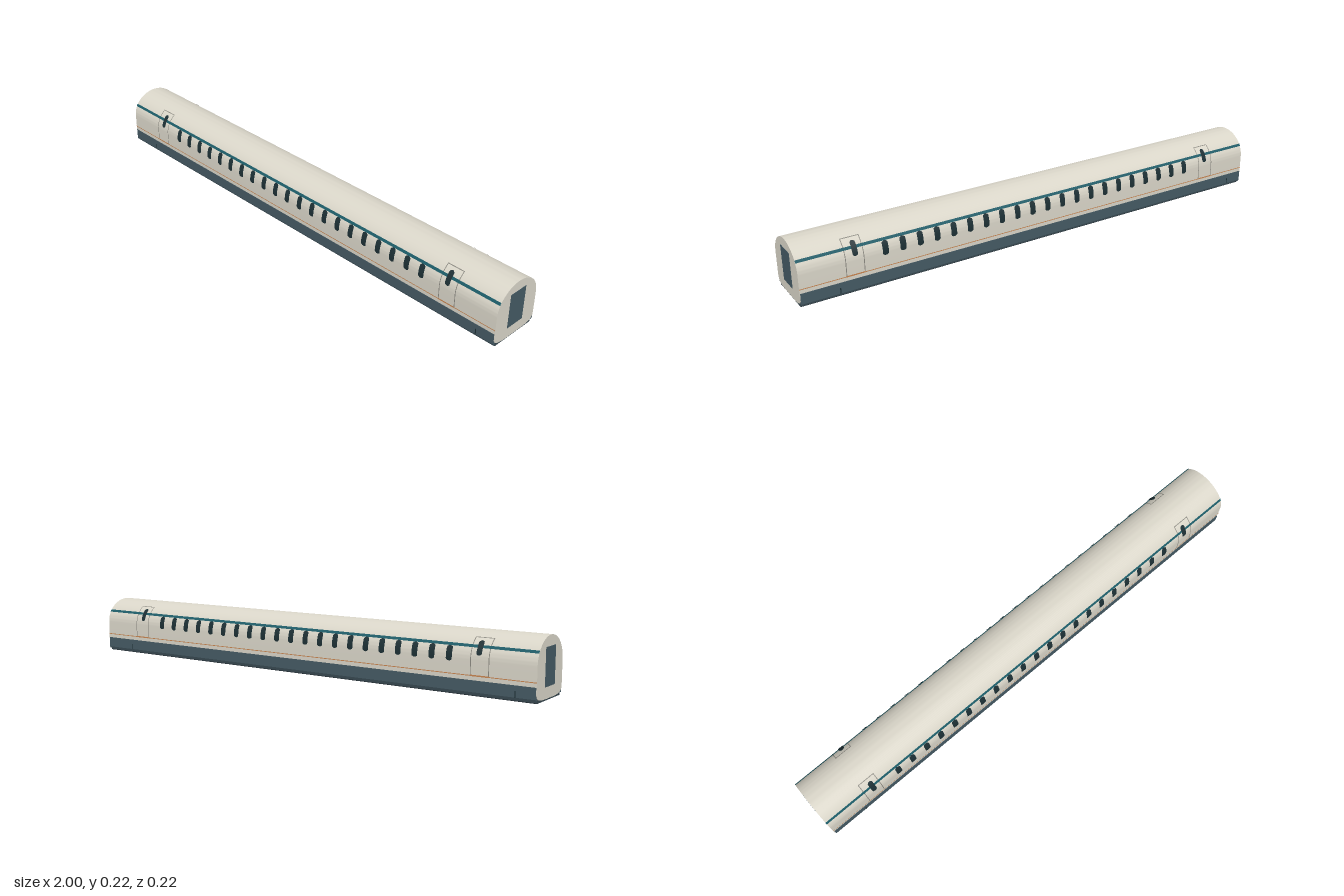
import * as THREE from 'three';
import { toCreasedNormals } from 'three/addons/utils/BufferGeometryUtils.js';

const HALF = 1;            // half length of the car
const W = 0.106;           // half width
const SHOULDER = 0.125;    // where the wall starts to curve into the roof
const ROOF = 0.095;        // rise of the roof arc
const FLOOR = 0.045;       // where the wall starts to curve under

const mat = (name, color, side = THREE.FrontSide) => {
  const m = new THREE.MeshStandardMaterial({ color, side });
  m.name = name;
  return m;
};

// Point on the car wall at height y, pushed outward by off: [z, y]
function wallPoint(y, off) {
  if (y <= SHOULDER) return [W + off, y];
  const a = Math.asin(Math.min(1, (y - SHOULDER) / ROOF));
  const nz = Math.cos(a) / W, ny = Math.sin(a) / ROOF, l = Math.hypot(nz, ny);
  return [W * Math.cos(a) + off * nz / l, y + off * ny / l];
}

// Extrude a (z, y) outline along the car, centred on x = 0
function alongCar(points, halfLength, crease = 0.6) {
  const shape = new THREE.Shape(points.map(p => new THREE.Vector2(p[0], p[1])));
  const g = new THREE.ExtrudeGeometry(shape, { depth: halfLength * 2, bevelEnabled: false });
  g.translate(0, 0, -halfLength).rotateY(Math.PI / 2);
  return toCreasedNormals(g, crease);
}

// Thin plate hugging the wall, with optional rounded corners
function wallPlate(x, width, y0, y1, off, radius = 0) {
  const h = y1 - y0, g = new THREE.PlaneGeometry(width, h, 1, 14), p = g.attributes.position;
  for (let i = 0; i < p.count; i++) {
    const v = p.getY(i), d = Math.max(0, radius - (h / 2 - Math.abs(v)));
    const inset = radius - Math.sqrt(Math.max(0, radius * radius - d * d));
    const half = width / 2 - inset;
    const [z, y] = wallPoint((y0 + y1) / 2 + v, off);
    p.setXYZ(i, x + Math.sign(p.getX(i)) * half, y, z);
  }
  g.computeVertexNormals();
  return g;
}

export function createModel() {
  const car = new THREE.Group();
  car.name = 'railCar';
  const cream = mat('cream body', 0xdad6c9);
  const slate = mat('slate skirt', 0x455a64);
  const under = mat('dark underside', 0x37474f);
  const glass = mat('dark glass', 0x1c2f34);
  const teal = mat('teal stripe', 0x1c5c68);
  const orange = mat('orange line', 0xc98550);
  const seam = mat('door seam', 0x8c8a82);

  const add = (parent, name, geometry, material) => {
    const m = new THREE.Mesh(geometry, material);
    m.name = name;
    parent.add(m);
    return m;
  };

  // Body shell: elliptical roof, straight walls, softly rounded belly
  const outline = [];
  for (let i = 0; i <= 48; i++) {
    const a = Math.PI * i / 48;
    outline.push([W * Math.cos(a), SHOULDER + ROOF * Math.sin(a)]);
  }
  for (let i = 0; i <= 28; i++) {
    const a = Math.PI * (1 + i / 28), c = Math.cos(a), s = Math.sin(a);
    outline.push([W * Math.sign(c) * Math.sqrt(Math.abs(c)), FLOOR - 0.039 * Math.sqrt(Math.abs(s))]);
  }
  add(car, 'bodyShell', alongCar(outline, HALF), cream);

  // Flat underfloor pan
  add(car, 'underfloorPan', alongCar([
    [-0.095, 0], [0.095, 0], [0.098, 0.003], [0.098, 0.013], [-0.098, 0.013], [-0.098, 0.003],
  ], 0.997), under);

  // End doors
  for (const s of [-1, 1]) {
    const door = add(car, 'endDoor', new THREE.BoxGeometry(0.004, 0.135, 0.08), slate);
    door.position.set(s * (HALF - 0.0005), 0.1145, 0);
  }

  // Everything on one long side, repeated turned round for the other
  for (const turn of [0, Math.PI]) {
    const side = new THREE.Group();
    side.name = turn ? 'rearSide' : 'frontSide';
    side.rotation.y = turn;
    car.add(side);

    // Skirt outline is given in -z because the extrusion turns it to face +z
    add(side, 'skirt', alongCar([
      [-0.099, 0.009], [-0.099, 0.056], [-0.1075, 0.056], [-0.1075, 0.015], [-0.105, 0.009],
    ].reverse(), 0.998, 0.3), slate);
    for (const x of [-0.855, 0.925])
      add(side, 'skirtSeam', wallPlate(x, 0.004, 0.015, 0.038, 0.0022), glass);

    add(side, 'tealStripe', wallPlate(0, HALF * 2, 0.167, 0.176, 0.0015), teal);
    add(side, 'orangeLine', wallPlate(0, HALF * 2, 0.0705, 0.0735, 0.001), orange);

    // Passenger windows
    for (let i = 0; i < 21; i++)
      add(side, 'window', wallPlate(-0.678 + i * 0.0678, 0.023, 0.116, 0.167, 0.002, 0.008), glass);

    // Passenger doors: seams, sill and small window
    for (const s of [-1, 1]) {
      for (const x of [0.76, 0.828])
        add(side, 'doorSeam', wallPlate(s * x, 0.003, 0.07, 0.2, 0.001), seam);
      add(side, 'doorHead', wallPlate(s * 0.794, 0.068, 0.198, 0.2, 0.001), seam);
      add(side, 'doorSill', wallPlate(s * 0.794, 0.068, 0.07, 0.075, 0.0015), orange);
      add(side, 'doorWindow', wallPlate(s * 0.79, 0.02, 0.142, 0.19, 0.002, 0.007), glass);
    }
  }
  return car;
}
